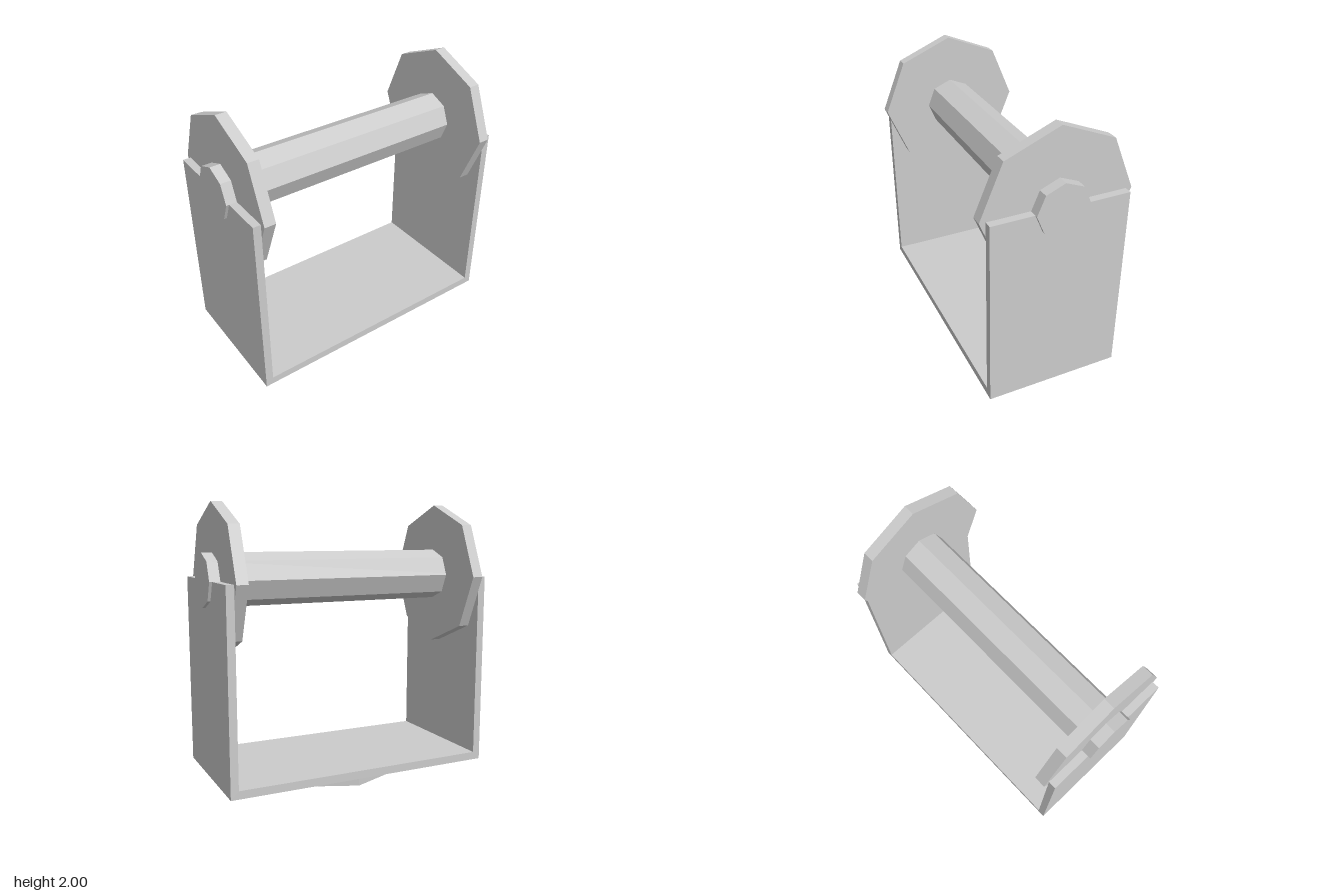
import * as THREE from 'three';

const material = new THREE.MeshStandardMaterial({ color: 0xcccccc, flatShading: true });

const AXLE_Y = 1.475;

function add(group, name, geometry, x, y, z) {
  const mesh = new THREE.Mesh(geometry, material);
  mesh.name = name;
  mesh.position.set(x, y, z);
  group.add(mesh);
  return mesh;
}

// Eight-sided prism lying along x, with a corner pointing up
function octagonAlongX(radius, length) {
  return new THREE.CylinderGeometry(radius, radius, length, 8).rotateZ(Math.PI / 2);
}

export function createModel() {
  const model = new THREE.Group();
  model.name = 'spoolBracket';

  // U-shaped bracket: floor and two side walls in one profile
  const outer = 0.98, inner = 0.925, bottom = 0.09, floor = 0.147, depth = 0.965;
  const profile = new THREE.Shape([
    [-outer, bottom], [outer, bottom], [outer, AXLE_Y], [inner, AXLE_Y],
    [inner, floor], [-inner, floor], [-inner, AXLE_Y], [-outer, AXLE_Y],
  ].map(([x, y]) => new THREE.Vector2(x, y)));
  add(model, 'bracket',
    new THREE.ExtrudeGeometry(profile, { depth, bevelEnabled: false }), 0, 0, -depth / 2);

  // Axle running through both walls
  add(model, 'axle', octagonAlongX(0.186, 2), 0, AXLE_Y, 0);

  // Flange discs just inside the walls
  for (const side of [1, -1]) {
    add(model, side > 0 ? 'leftFlange' : 'rightFlange',
      octagonAlongX(0.526, 0.08), side * 0.885, AXLE_Y, 0);
  }

  // Mounting foot under the floor
  add(model, 'foot', new THREE.CylinderGeometry(0.387, 0.387, bottom, 8), 0, bottom / 2, 0);

  return model;
}
